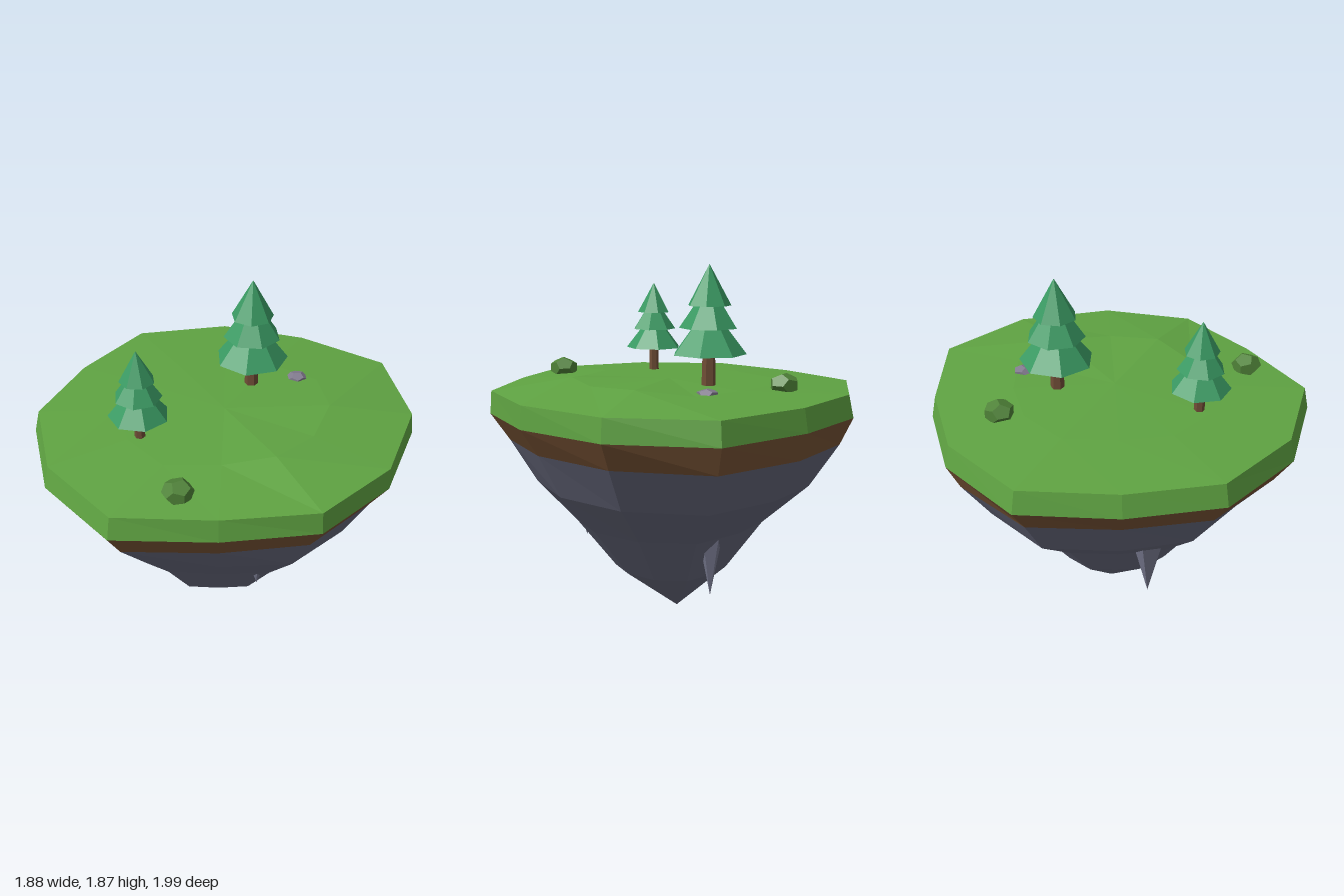
import * as THREE from 'three';

const mat = (name, color) => {
  const m = new THREE.MeshStandardMaterial({ color, flatShading: true });
  m.name = name;
  return m;
};

// Outline of the island at its widest, as [x, z]
const RIM = [
  [0.42, -1.0], [0.8, -0.62], [0.935, -0.12], [0.85, 0.365], [0.495, 0.7], [0.07, 0.99],
  [-0.44, 0.87], [-0.83, 0.535], [-0.94, 0.05], [-0.93, -0.455], [-0.57, -0.825], [-0.11, -0.98],
];
const APEX = [-0.04, 0.01, -0.05];

// Shrinks the rim towards the axis; scales are given for +x, +z, -x, -z and blended around
function ring(y, [px, pz, nx, nz], cx = -0.04, cz = -0.03) {
  return RIM.map(([x, z], i) => {
    const dx = x - cx, dz = z - cz, c2 = dx * dx / (dx * dx + dz * dz);
    const s = c2 * (dx > 0 ? px : nx) + (1 - c2) * (dz > 0 ? pz : nz);
    return [cx + dx * s, Array.isArray(y) ? y[i] : y, cz + dz * s];
  });
}
const point = (p) => RIM.map(() => p);

// Faceted skin through a stack of rings, listed from top to bottom
function skin(rings) {
  const pos = [];
  const tri = (a, b, c) => { if (a !== b && b !== c && a !== c) pos.push(...a, ...b, ...c); };
  for (let k = 0; k + 1 < rings.length; k++) {
    const u = rings[k], l = rings[k + 1];
    for (let i = 0; i < u.length; i++) {
      const j = (i + 1) % u.length;
      tri(l[i], u[i], u[j]);
      tri(l[i], u[j], l[j]);
    }
  }
  const g = new THREE.BufferGeometry();
  g.setAttribute('position', new THREE.Float32BufferAttribute(pos, 3));
  g.computeVertexNormals();
  return g;
}

export function createModel() {
  const grass = mat('grass', 0x5fa342);
  const dirt = mat('dirt', 0x765234);
  const rock = mat('rock', 0x646679);
  const shardRock = mat('shard rock', 0x74768b);
  const needles = mat('needles', 0x3a9a63);
  const bark = mat('bark', 0x6f4d36);
  const leaves = mat('bush leaves', 0x4f8238);
  const pebble = mat('pebble', 0x817a8d);

  const model = new THREE.Group();
  model.name = 'floatingIsland';
  const add = (parent, name, geo, material, x = 0, y = 0, z = 0) => {
    const m = new THREE.Mesh(geo, material);
    m.name = name;
    m.position.set(x, y, z);
    parent.add(m);
    return m;
  };

  // Island layers
  const widest = ring(1.12, [1, 1, 1, 1]);
  const dirtBase = ring(0.98, [0.9, 0.91, 0.89, 0.95]);
  const hills = [1.27, 1.295, 1.285, 1.297, 1.27, 1.262, 1.26, 1.26, 1.265, 1.265, 1.265, 1.27];
  add(model, 'grassLayer', skin([
    point([0, 1.28, -0.03]),
    ring(hills, [0.55, 0.55, 0.55, 0.55], 0, -0.03),
    ring(1.238, [0.995, 0.975, 0.97, 0.975]),
    widest,
  ]), grass);
  add(model, 'dirtLayer', skin([widest, dirtBase]), dirt);
  add(model, 'rockBase', skin([
    dirtBase,
    ring(0.75, [0.77, 0.71, 0.755, 0.78]),
    ring(0.53, [0.56, 0.515, 0.49, 0.525]),
    ring(0.26, [0.34, 0.32, 0.28, 0.32]),
    point(APEX),
  ]), rock);

  // Hanging rock shards: tip x, y, z, radius, height
  for (const [x, y, z, r, h] of [
    [-0.49, 0.3, 0.165, 0.09, 0.36],
    [0.055, 0.21, -0.465, 0.08, 0.38],
    [0.38, 0.43, 0.2, 0.075, 0.24],
  ]) {
    const g = new THREE.ConeGeometry(r, h, 5).rotateX(Math.PI);
    add(model, 'rockShard', g, shardRock, x, y + h / 2, z);
  }

  // Pines: each tier is [base y, radius, height]
  function pine(x, z, turn, trunkR, tiers) {
    const tree = new THREE.Group();
    tree.name = 'pineTree';
    tree.position.set(x, 0, z);
    const bottom = 1.24, top = tiers[0][0] + 0.04;
    add(tree, 'trunk', new THREE.CylinderGeometry(trunkR * 0.85, trunkR, top - bottom, 6),
      bark, 0, (top + bottom) / 2, 0);
    tiers.forEach(([y, r, h], i) => {
      const tier = add(tree, 'foliageTier', new THREE.ConeGeometry(r, h, 7), needles, 0, y + h / 2, 0);
      tier.rotation.y = turn + i * 0.5;
    });
    model.add(tree);
  }
  pine(-0.035, -0.325, Math.PI, 0.037,
    [[1.433, 0.192, 0.25], [1.565, 0.151, 0.225], [1.677, 0.112, 0.205]]);
  pine(-0.21, 0.405, 0, 0.028,
    [[1.39, 0.155, 0.2], [1.496, 0.121, 0.18], [1.59, 0.09, 0.163]]);

  // Bushes and a pebble
  const lump = (name, material, x, y, z, r, flat, turn) => {
    const m = add(model, name, new THREE.DodecahedronGeometry(r), material, x, y, z);
    m.scale.y = flat;
    m.rotation.y = turn;
  };
  lump('bush', leaves, -0.31, 1.285, -0.59, 0.079, 0.75, 0.4);
  lump('bush', leaves, 0.235, 1.28, 0.665, 0.079, 0.75, 1.1);
  lump('pebble', pebble, 0.13, 1.268, -0.525, 0.056, 0.5, 0.7);

  return model;
}
